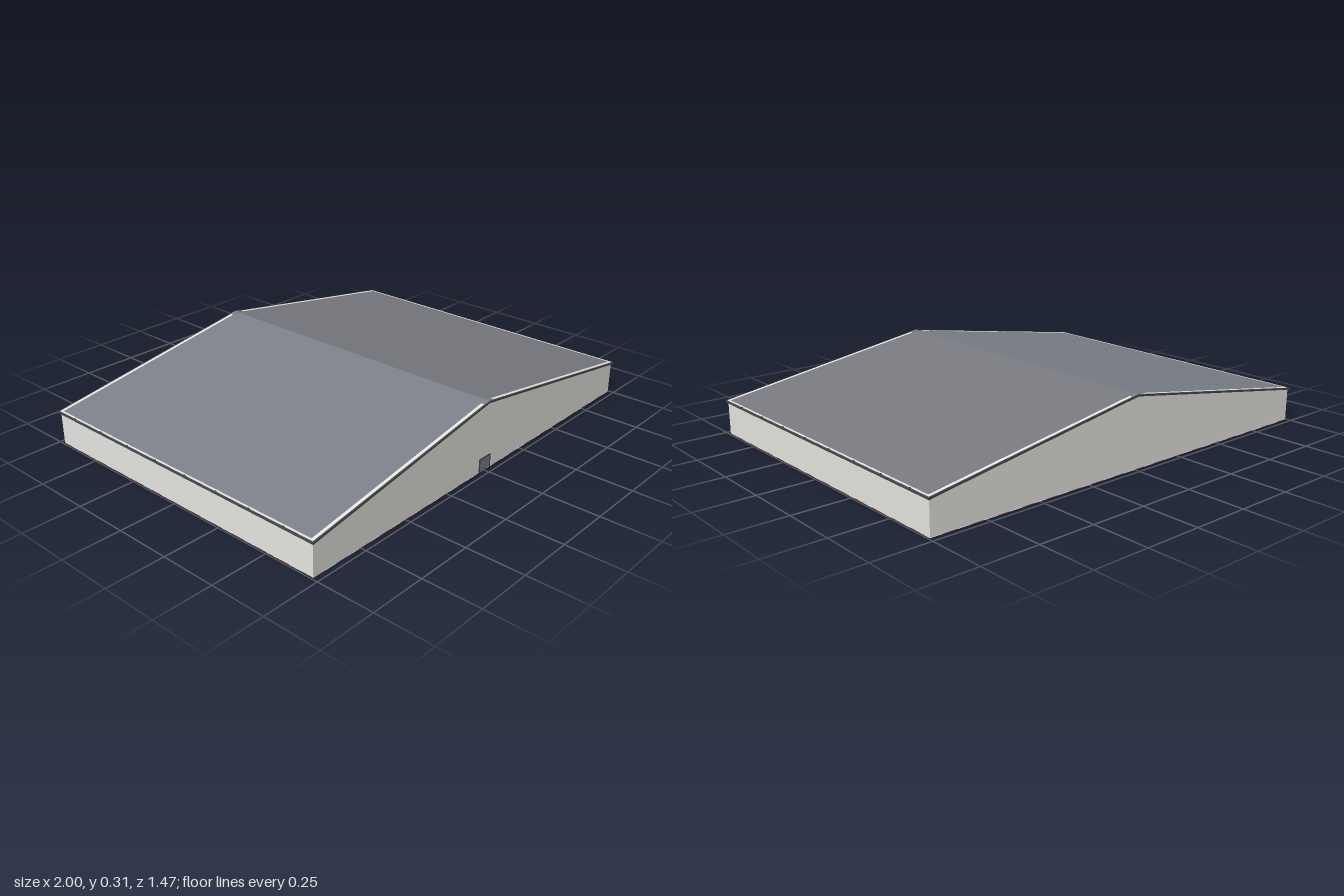
import * as THREE from 'three';
import { mergeGeometries } from 'three/addons/utils/BufferGeometryUtils.js';

const EAVE = 0.147, RIDGE = 0.308, SLOPE = RIDGE - EAVE; // roof line over x = -1..1
const WX = 0.993, WZ = 0.725;                            // wall half sizes

const mat = (name, color, side = THREE.FrontSide) => {
  const m = new THREE.MeshStandardMaterial({ color, side });
  m.name = name;
  return m;
};
const roofY = (x) => RIDGE - SLOPE * Math.abs(x);

export function createModel() {
  const wall = mat('pale wall', 0xe8e8e3);
  const roofRight = mat('slate roof', 0x7c818a);
  const roofLeft = mat('warm slate roof', 0x7a7b80);
  const trim = mat('dark trim', 0x46484e);
  const tileRed = mat('red tile', 0xc45052, THREE.DoubleSide);
  const tileGrey = mat('grey tile', 0xd0d4d2, THREE.DoubleSide);

  const model = new THREE.Group();
  model.name = 'hall';
  const add = (name, geo, material, x = 0, y = 0, z = 0) => {
    const m = new THREE.Mesh(geo, material);
    m.name = name;
    m.position.set(x, y, z);
    model.add(m);
  };
  const box = (name, w, h, d, material, x, y, z) =>
    add(name, new THREE.BoxGeometry(w, h, d), material, x, y, z);

  // Outline extruded along z from z0 to z1
  const prism = (name, pts, z0, z1, material) => {
    const shape = new THREE.Shape(pts.map(([x, y]) => new THREE.Vector2(x, y)));
    const geo = new THREE.ExtrudeGeometry(shape, { depth: z1 - z0, bevelEnabled: false });
    add(name, geo, material, 0, 0, z0);
  };
  // Chevron following the roof line, lifted by top and bottom offsets
  const chevron = (half, bottom, top) => [
    [-half, roofY(half) + bottom], [0, RIDGE + bottom], [half, roofY(half) + bottom],
    [half, roofY(half) + top], [0, RIDGE + top], [-half, roofY(half) + top],
  ];

  // Gable walls, side walls, roof sheets and edge trims
  const gable = [[-WX, 0.002], [WX, 0.002], [WX, roofY(WX) - 0.002], [0, RIDGE - 0.002], [-WX, roofY(WX) - 0.002]];
  for (const s of [-1, 1]) {
    const span = (a, b) => (s > 0 ? [a, b] : [-b, -a]);
    prism('gableWall', gable, ...span(WZ - 0.01, WZ), wall);
    prism('vergeStrip', chevron(0.994, -0.002, 0.0025), ...span(0.714, 0.728), wall);
    prism('vergeTrim', chevron(1, -0.006, 0.002), ...span(0.728, 0.7345), trim);
    const h = roofY(WX) - 0.004;
    box('sideWall', 0.01, h - 0.002, 2 * WZ - 0.02, wall, s * (WX - 0.005), h / 2 + 0.001, 0);
    box('eaveTrim', 0.006, 0.008, 1.469, trim, s * 0.997, EAVE - 0.003, 0);
    box('eaveStrip', 0.009, 0.004, 1.44, wall, s * 0.9895, EAVE + 0.0015, 0);
    // Small gutter brackets along the eaves
    for (let i = 0; i < 8; i++)
      box('gutterBracket', 0.004, 0.005, 0.008, trim, s * 0.996, EAVE + 0.002, 0.59 - i * 0.173);
    // One roof sheet per slope
    const [a, b] = [s * 0.986, 0];
    const sheet = [[a, roofY(a) - 0.006], [b, RIDGE - 0.006], [b, RIDGE + 0.0015], [a, roofY(a) + 0.0015]];
    prism('roofSheet', sheet, -0.715, 0.715, s > 0 ? roofLeft : roofRight);
    // Ridge cap ends bridging the verges
    prism('ridgeCapEnd', chevron(0.03, 0, 0.0035), ...span(0.712, 0.732), roofRight);
  }

  // Front door with a dark frame
  box('door', 0.064, 0.056, 0.003, roofRight, 0, 0.03, WZ);
  for (const s of [-1, 1]) box('doorJamb', 0.006, 0.06, 0.004, trim, s * 0.035, 0.032, WZ);
  box('doorLintel', 0.076, 0.006, 0.004, trim, 0, 0.0595, WZ);

  // Chequered floor with a plain patch towards the front
  const NX = 34, NZ = 25, tiles = [[], []];
  const tw = (2 * WX) / NX, td = (2 * WZ) / NZ;
  for (let i = 0; i < NX; i++) for (let j = 0; j < NZ; j++) {
    const x = -WX + (i + 0.5) * tw, z = -WZ + (j + 0.5) * td;
    const patch = Math.abs(x) < 0.09 && Math.abs(z - 0.32) < 0.06;
    const g = new THREE.PlaneGeometry(tw, td).rotateX(Math.PI / 2).translate(x, 0, z);
    tiles[patch ? 1 : (i + j) % 2].push(g);
  }
  add('redFloorTiles', mergeGeometries(tiles[0]), tileRed);
  add('greyFloorTiles', mergeGeometries(tiles[1]), tileGrey);

  return model;
}
